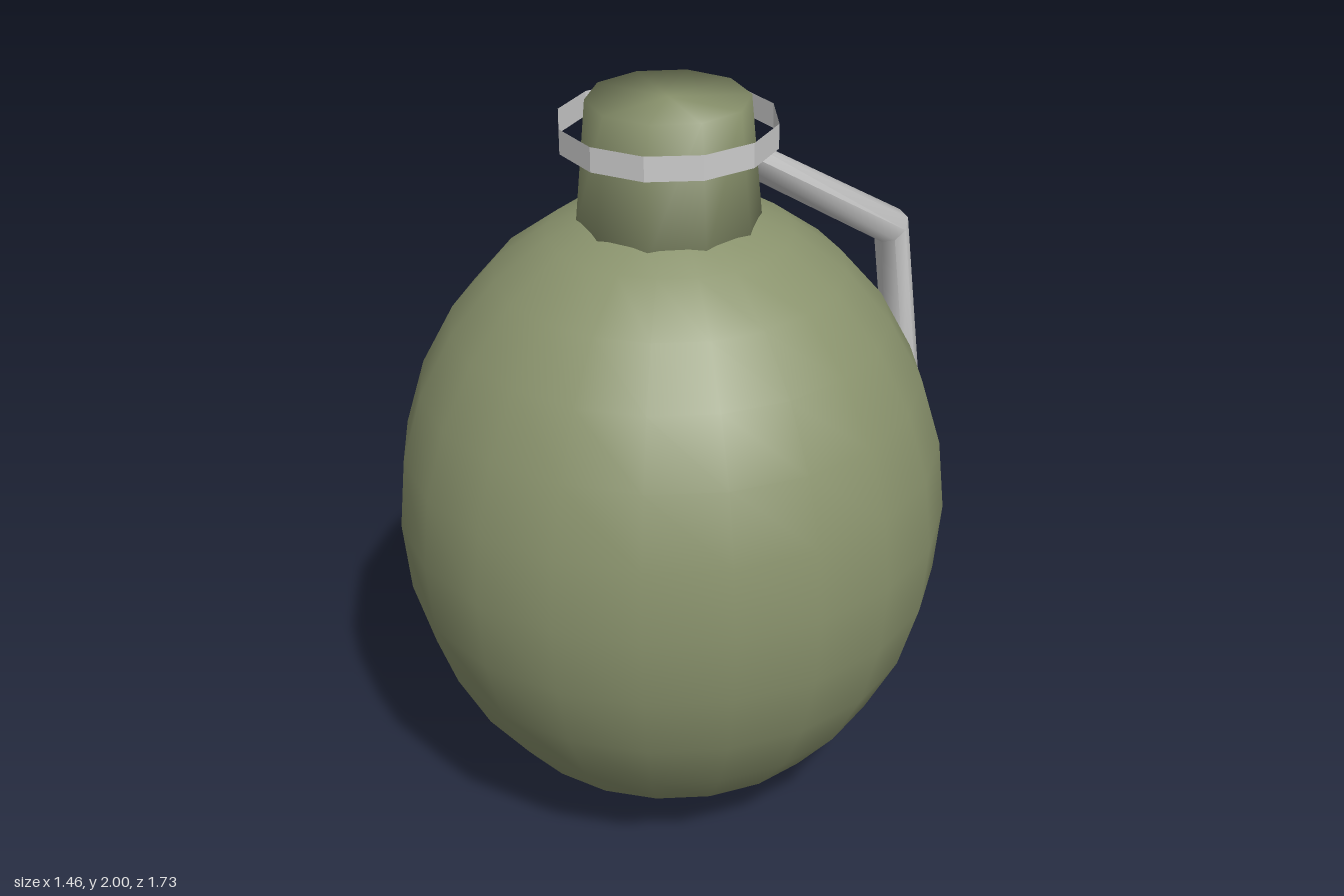
import * as THREE from 'three';
import { mergeVertices, toCreasedNormals } from 'three/addons/utils/BufferGeometryUtils.js';

const olive = new THREE.MeshStandardMaterial({ color: 0x8a936d });
const grey = new THREE.MeshStandardMaterial({ color: 0xcccccc });
const band = new THREE.MeshStandardMaterial({ color: 0xcccccc, side: THREE.DoubleSide, flatShading: true });

function part(name, geometry, material, x, y, z) {
  const mesh = new THREE.Mesh(geometry, material);
  mesh.name = name;
  mesh.position.set(x, y, z);
  return mesh;
}

// Weld all corners so that shading rolls over the rims
function softened(geometry) {
  geometry.deleteAttribute('uv');
  geometry.deleteAttribute('normal');
  const welded = mergeVertices(geometry);
  welded.computeVertexNormals();
  return welded;
}

// Bent rod: a cylinder whose rows are moved onto a mitred path in the yz plane
function leverGeometry() {
  const r = 0.052;
  const geometry = new THREE.CylinderGeometry(r, r, 1, 8, 2);
  // rows from the free end to the neck: centre, and direction of the section's local z
  const rows = [
    { y: 0.875, z: -0.817, dy: -0.15, dz: 0.94 },
    { y: 1.398, z: -0.73, dy: -0.7, dz: 0.8 },
    { y: 1.815, z: -0.055, dy: -1.05, dz: -0.1 },
  ];
  const p = geometry.attributes.position;
  for (let i = 0; i < p.count; i++) {
    const row = rows[Math.round((p.getY(i) + 0.5) * 2)];
    const s = p.getZ(i);
    p.setXYZ(i, p.getX(i), row.y + s * row.dy, row.z + s * row.dz);
  }
  return toCreasedNormals(geometry, 0.82);
}

export function createModel() {
  const group = new THREE.Group();
  group.name = 'grenade';
  const cz = 0.135;

  // Egg-shaped body
  const bodyGeometry = new THREE.SphereGeometry(0.73, 20, 14);
  bodyGeometry.scale(1, 0.865 / 0.73, 1);
  group.add(part('body', bodyGeometry, olive, 0, 0.87, cz));

  // Tapered neck with softly shaded rims
  const neckGeometry = softened(new THREE.CylinderGeometry(0.208, 0.238, 0.34, 10, 1, false, -0.13));
  group.add(part('neck', neckGeometry, olive, 0, 1.83, cz));

  // Thin loose band around the neck
  const ringGeometry = new THREE.CylinderGeometry(0.28, 0.28, 0.065, 12, 1, true);
  group.add(part('ring', ringGeometry, band, 0, 1.918, cz + 0.003));

  // Bent lever at the back
  group.add(part('lever', leverGeometry(), grey, 0.068, 0, 0));

  return group;
}
